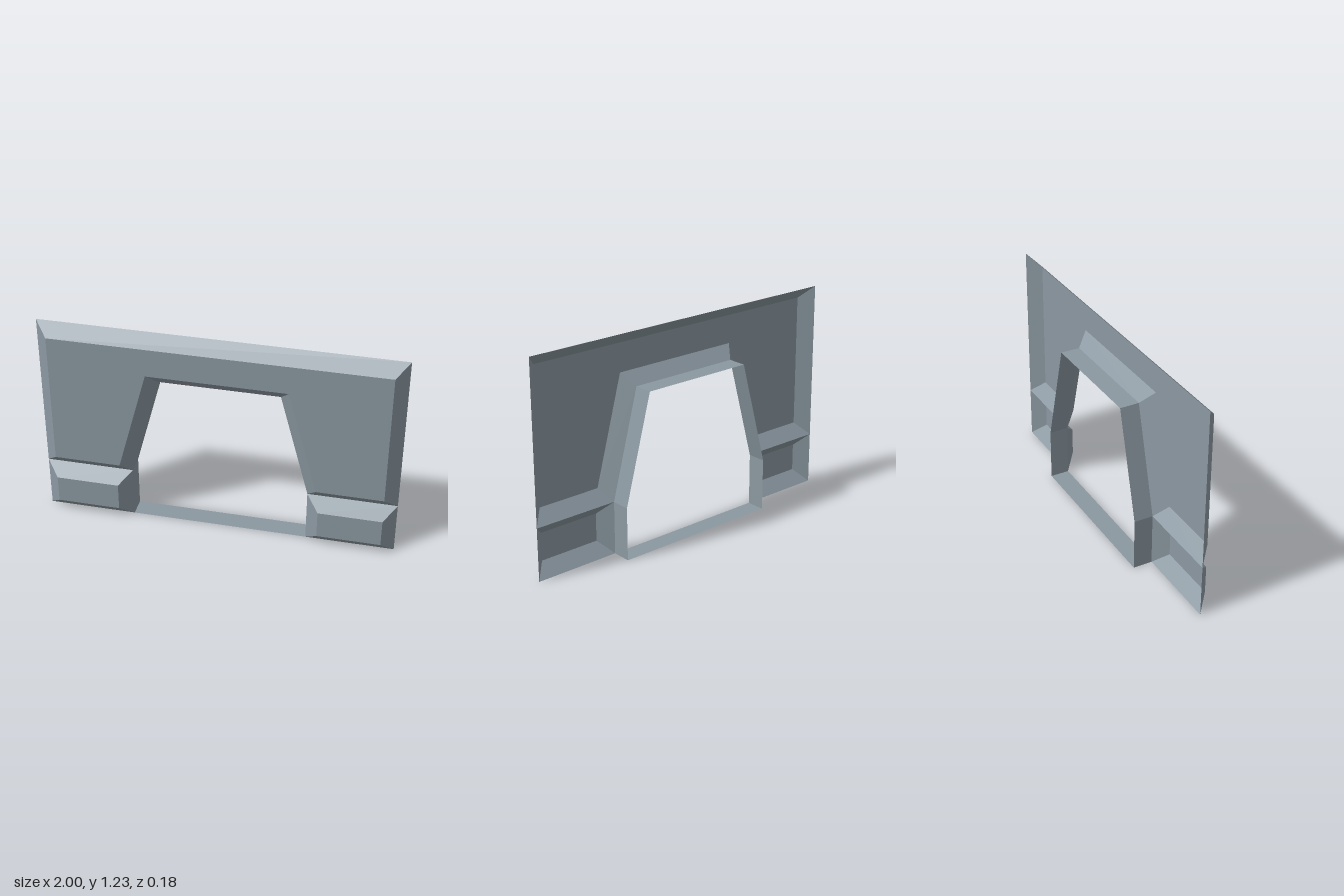
import * as THREE from 'three';

const steel = new THREE.MeshStandardMaterial({ color: 0x8b98a1, side: THREE.DoubleSide });
steel.name = 'blueGrey';

const BACK = -0.09, RIM = 0.02, FACE = 0.09;

// Flat-shaded closed band joining two outlines (counter-clockwise from the front)
function band(a, za, b, zb) {
  const pos = [];
  a.forEach((p, i) => {
    const j = (i + 1) % a.length;
    const A = [...p, za], B = [...a[j], za], C = [...b[j], zb], D = [...b[i], zb];
    pos.push(...A, ...B, ...C, ...A, ...C, ...D);
  });
  const geo = new THREE.BufferGeometry();
  geo.setAttribute('position', new THREE.Float32BufferAttribute(pos, 3));
  geo.computeVertexNormals();
  return geo;
}

// Raised panel, open at the back: sloped rim and flat face
function panel(name, outer, inner) {
  const group = new THREE.Group();
  group.name = name;
  const bevel = new THREE.Mesh(band(outer, RIM, inner, FACE), steel);
  bevel.name = name + 'Bevel';
  const shape = new THREE.Shape(inner.map(p => new THREE.Vector2(...p)));
  const face = new THREE.Mesh(new THREE.ShapeGeometry(shape), steel);
  face.name = name + 'Face';
  face.position.z = FACE;
  group.add(bevel, face);
  return group;
}

// Adds the mirrored half of an outline given from bottom centre to top centre
const mirror = pts => [...pts, ...pts.map(([x, y]) => [-x, y]).reverse()];
const rect = (x0, y0, x1, y1) => [[x0, y0], [x1, y0], [x1, y1], [x0, y1]];

export function createModel() {
  const model = new THREE.Group();
  model.name = 'doorwayWall';

  // Upper wall arching over the doorway
  model.add(panel('upperWall',
    mirror([[0.335, 0.92], [0.5, 0.305], [1, 0.305], [1, 1.225]]),
    mirror([[0.388, 0.99], [0.555, 0.378], [0.929, 0.378], [0.929, 1.154]])));

  // Base blocks either side
  model.add(panel('leftBase', rect(0.5, 0, 1, 0.305), rect(0.571, 0.073, 0.929, 0.234)));
  model.add(panel('rightBase', rect(-1, 0, -0.5, 0.305), rect(-0.929, 0.073, -0.571, 0.234)));

  // Door lining, including the threshold
  const opening = mirror([[0.5, 0], [0.5, 0.305], [0.335, 0.92]]);
  const lining = new THREE.Mesh(band(opening, RIM, opening, BACK), steel);
  lining.name = 'doorLining';
  model.add(lining);

  return model;
}
